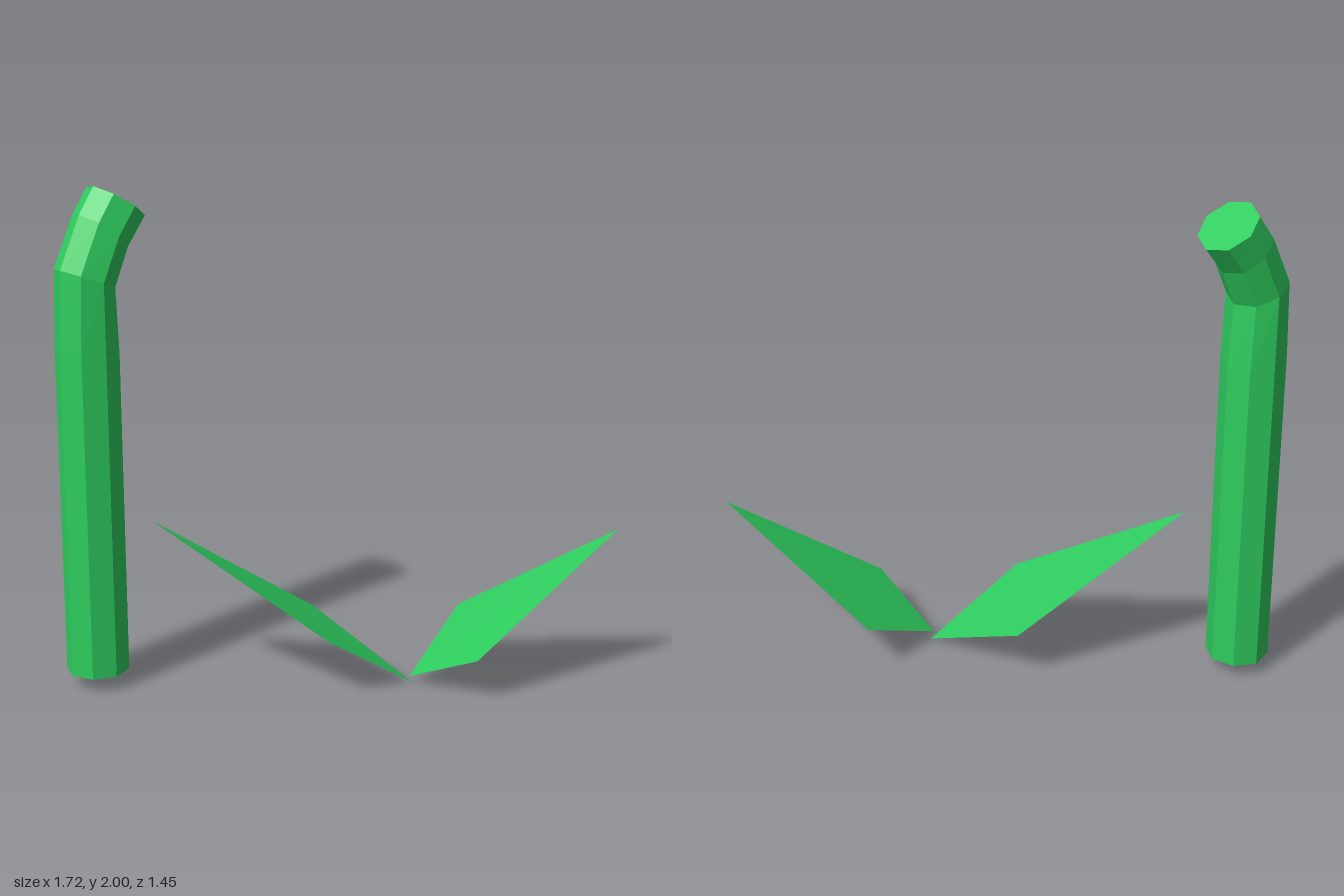
import * as THREE from 'three';

const SIDES = 8;
const RADIUS = 0.125;
const STEM_Z = -0.6;

function makeMesh(name, positions, indices, material) {
  const indexed = new THREE.BufferGeometry();
  indexed.setAttribute('position', new THREE.Float32BufferAttribute(positions, 3));
  indexed.setIndex(indices);
  const geometry = indexed.toNonIndexed();
  geometry.computeVertexNormals();
  const mesh = new THREE.Mesh(geometry, material);
  mesh.name = name;
  return mesh;
}

// Eight-sided stem lofted through tilted rings, capped at both ends
function createStem(material) {
  // each ring: outer x, y and inner x, y of its section
  const rings = [
    [-0.86, 0.06, -0.61, 0.06],
    [-0.86, 1.39, -0.61, 1.36],
    [-0.845, 1.7, -0.625, 1.61],
    [-0.75, 1.9, -0.565, 1.75],
    [-0.68, 2.0, -0.48, 1.86],
  ];
  const positions = [];
  const indices = [];
  for (const [lx, ly, rx, ry] of rings) {
    for (let i = 0; i < SIDES; i++) {
      const a = (i / SIDES) * Math.PI * 2;
      const t = (1 + Math.cos(a)) / 2;
      positions.push(lx + (rx - lx) * t, ly + (ry - ly) * t, STEM_Z + RADIUS * Math.sin(a));
    }
  }
  for (let r = 0; r < rings.length - 1; r++) {
    for (let i = 0; i < SIDES; i++) {
      const a = r * SIDES + i;
      const b = r * SIDES + ((i + 1) % SIDES);
      indices.push(a, a + SIDES, b, b, a + SIDES, b + SIDES);
    }
  }
  const top = (rings.length - 1) * SIDES;
  for (let i = 1; i < SIDES - 1; i++) {
    indices.push(0, i, i + 1); // bottom cap
    indices.push(top, top + i + 1, top + i); // top cap
  }
  return makeMesh('stem', positions, indices, material);
}

// Thin kite-shaped leaf: base, one side, tip, other side
function createLeaf(name, corners, material) {
  return makeMesh(name, corners.flat(), [0, 1, 2, 0, 2, 3], material);
}

export function createModel() {
  const group = new THREE.Group();
  group.name = 'sprout';
  const color = 0x2ecc5e;
  const stemMaterial = new THREE.MeshStandardMaterial({ color, flatShading: true });
  const leafMaterial = new THREE.MeshStandardMaterial({
    color, flatShading: true, side: THREE.DoubleSide,
  });

  group.add(createStem(stemMaterial));

  group.add(createLeaf('backLeaf', [
    [0.2, 0.0, 0.24], [0.085, 0.22, -0.23], [-0.56, 0.68, -0.445], [-0.19, 0.26, 0.18],
  ], leafMaterial));
  group.add(createLeaf('frontLeaf', [
    [0.185, 0.03, 0.24], [0.235, 0.185, 0.57], [0.855, 0.625, 0.725], [0.55, 0.215, 0.145],
  ], leafMaterial));

  return group;
}
